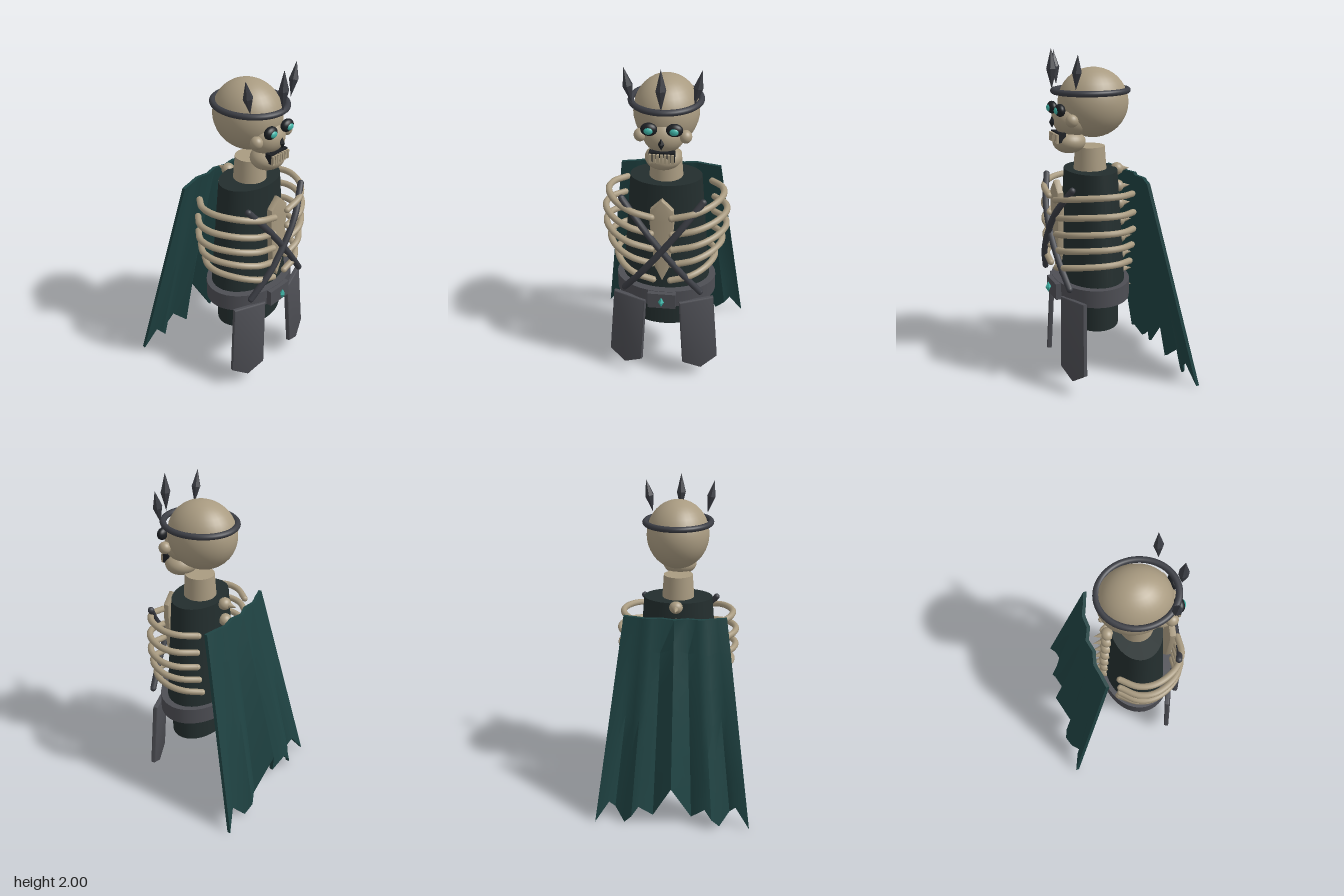
import * as THREE from 'three';
import { toCreasedNormals } from 'three/addons/utils/BufferGeometryUtils.js';

const V = (x, y, z) => new THREE.Vector3(x, y, z);

export function createModel() {
  const model = new THREE.Group();
  const mat = (name, color) => {
    const m = new THREE.MeshStandardMaterial({ color });
    m.name = name;
    return m;
  };
  const bone = mat('bone', 0xa99b81);
  const cloth = mat('dark cloth', 0x232e2e);
  const steel = mat('grey steel', 0x4d4e54);
  const iron = mat('dark iron', 0x3b3d44);
  const black = mat('socket black', 0x1c1f23);
  const glow = mat('teal glow', 0x3fb5a8);
  const cape = mat('cape teal', 0x1f4343);
  cape.side = THREE.DoubleSide;

  const add = (name, geo, material, x = 0, y = 0, z = 0, parent = model) => {
    const m = new THREE.Mesh(geo, material);
    m.name = name;
    m.position.set(x, y, z);
    parent.add(m);
    return m;
  };
  const ball = (name, material, x, y, z, rx, ry = rx, rz = rx) =>
    add(name, new THREE.SphereGeometry(1, 32, 20).scale(rx, ry, rz), material, x, y, z);
  // Elliptical drum between two heights
  const drum = (name, material, rTop, rBottom, y0, y1, z, depth) =>
    add(name, new THREE.CylinderGeometry(rTop, rBottom, y1 - y0, 40).scale(1, 1, depth), material, 0, (y0 + y1) / 2, z);
  // Faceted double-ended spike
  const crystal = (name, material, x, y, z, r, h, sides = 6) =>
    add(name, toCreasedNormals(new THREE.LatheGeometry(
      [new THREE.Vector2(0, -h), new THREE.Vector2(r, 0), new THREE.Vector2(0, h)], sides), 0.2), material, x, y, z);
  // Round rod with domed ends following a curve
  const rod = (name, material, points, r) => {
    const g = new THREE.Group();
    g.name = name;
    add(name + 'Shaft', new THREE.TubeGeometry(new THREE.CatmullRomCurve3(points), 32, r, 10), material, 0, 0, 0, g);
    for (const p of [points[0], points[points.length - 1]])
      add(name + 'End', new THREE.SphereGeometry(r, 10, 8), material, p.x, p.y, p.z, g);
    model.add(g);
  };

  // Skull
  ball('cranium', bone, 0, 1.69, 0.105, 0.183, 0.2, 0.207);
  ball('face', bone, 0, 1.6, 0.235, 0.115, 0.1, 0.11);
  ball('jaw', bone, 0, 1.475, 0.255, 0.102, 0.068, 0.095);
  for (const s of [-1, 1]) {
    ball('cheekbone', bone, s * 0.123, 1.61, 0.28, 0.034, 0.036, 0.036);
    ball('eyeSocket', black, s * 0.068, 1.665, 0.33, 0.045, 0.036, 0.028);
    ball('eye', glow, s * 0.068, 1.663, 0.35, 0.025, 0.02, 0.014);
  }
  crystal('noseHole', black, 0, 1.592, 0.355, 0.018, 0.034, 4);
  add('mouth', new THREE.BoxGeometry(0.14, 0.055, 0.04), black, 0, 1.508, 0.318);
  for (let i = -3; i <= 3; i++)
    add('tooth', new THREE.BoxGeometry(0.014, 0.05, 0.02), bone, i * 0.02, 1.503, 0.343);

  // Crown
  add('crownBand', new THREE.TorusGeometry(0.192, 0.017, 12, 64).rotateX(Math.PI / 2).scale(1, 1, 1.115), iron, 0, 1.76, 0.12);
  crystal('crownSpike', iron, 0, 1.888, 0.352, 0.03, 0.112);
  for (const s of [-1, 1])
    crystal('crownSpike', iron, s * 0.184, 1.88, 0.27, 0.028, 0.098).rotation.z = -s * 0.2;

  // Body core and belt
  drum('neck', bone, 0.087, 0.097, 1.3, 1.44, 0.127, 1);
  drum('torso', cloth, 0.207, 0.265, 0.6, 1.305, 0.125, 0.72);
  drum('hips', cloth, 0.23, 0.23, 0.36, 0.6, 0.132, 0.69);
  drum('belt', steel, 0.3, 0.3, 0.54, 0.645, 0.133, 0.75);
  add('buckle', new THREE.BoxGeometry(0.165, 0.1, 0.04), steel, 0, 0.592, 0.362);
  crystal('buckleGem', glow, 0, 0.6, 0.402, 0.018, 0.034, 4);

  // Pointed plate extruded from an outline
  const plate = (points, depth, bevel) => {
    const shape = new THREE.Shape(points.map(p => new THREE.Vector2(...p)));
    return toCreasedNormals(new THREE.ExtrudeGeometry(shape, {
      depth, bevelEnabled: true, bevelSize: bevel, bevelThickness: bevel, bevelOffset: -bevel, bevelSegments: 2,
    }).translate(0, 0, -depth / 2), 0.5);
  };

  // Hanging hip plates
  for (const s of [-1, 1]) {
    const t = add('hipPlate', plate([[-0.105, 0], [-0.11, -0.44], [0, -0.505], [0.11, -0.44], [0.105, 0]], 0.014, 0.008),
      steel, s * 0.198, 0.575, 0.312);
    t.rotation.set(-0.06, s * 0.33, s * 0.055, 'YXZ');
  }

  // Breastbone
  add('breastbone', plate([[0, 1.255], [-0.065, 1.19], [-0.07, 1.12], [-0.045, 0.82], [0, 0.72],
    [0.045, 0.82], [0.07, 1.12], [0.065, 1.19]], 0.024, 0.008), bone, 0, 0, 0.335);

  // Ribs
  const ribSizes = [[1.2, 0.94], [1.095, 1], [0.995, 1], [0.895, 0.94], [0.785, 0.83]];
  const ribPath = [[0.27, -0.005, -0.03], [0.34, 0.005, 0.06], [0.352, 0.008, 0.16],
    [0.29, 0, 0.285], [0.19, -0.02, 0.355], [0.06, -0.05, 0.365]];
  for (const [y, k] of ribSizes)
    for (const s of [-1, 1])
      rod('rib', bone, ribPath.map(p => V(s * p[0] * k, y + p[1], p[2])), 0.019);

  // Crossed chest straps
  for (const s of [-1, 1]) {
    const dz = s * 0.006;
    rod('chestStrap', iron, [V(s * 0.228, 1.24, 0.322), V(s * 0.11, 1.09, 0.375 + dz), V(0, 0.945, 0.388 + dz),
      V(-s * 0.11, 0.8, 0.378 + dz), V(-s * 0.222, 0.655, 0.345)], 0.019);
  }

  // Spine
  for (let i = 0; i < 8; i++) {
    const y = 1.288 - i * 0.107, z = -0.045 - Math.min(i, 4) * 0.005;
    ball('vertebra', bone, 0, y, z, 0.04, 0.037, 0.037);
    add('vertebraSpike', new THREE.ConeGeometry(0.02, 0.055, 8).rotateX(-Math.PI / 2), bone, 0, y - 0.002, z - 0.053);
  }

  // Cape: half columns of [top x, top z, hem x, hem y, hem z], mirrored
  const half = [[0, 0.172, 0, 0.28, 0.42], [0.075, 0.148, 0.117, 0.05, 0.355], [0.128, 0.157, 0.2, 0.13, 0.395],
    [0.155, 0.16, 0.243, 0.07, 0.412], [0.185, 0.152, 0.29, 0.01, 0.385], [0.22, 0.14, 0.35, 0.09, 0.338],
    [0.245, 0.135, 0.385, 0.13, 0.355], [0.3, 0.12, 0.47, 0.005, 0.39]];
  const columns = [...half.slice(1).reverse().map(c => [-c[0], c[1], -c[2], c[3], c[4]]), ...half];
  const loop = [...columns.map(c => [c, 0]), ...[...columns].reverse().map(c => [c, 0.02])];
  const rows = 6, n = loop.length, pos = [], idx = [];
  for (let r = 0; r <= rows; r++)
    for (const [c, inset] of loop) {
      const t = r / rows;
      pos.push(THREE.MathUtils.lerp(c[0], c[2], t), THREE.MathUtils.lerp(1.255, c[3], t),
        inset - THREE.MathUtils.lerp(c[1], c[4], t));
    }
  const quad = (a, b, c, d) => idx.push(a, b, c, a, c, d);
  for (let r = 0; r < rows; r++)
    for (let i = 0; i < n; i++) {
      const j = (i + 1) % n;
      quad(r * n + i, r * n + j, (r + 1) * n + j, (r + 1) * n + i);
    }
  for (let i = 0; i < columns.length - 1; i++) {
    const b = rows * n;
    quad(i, n - 1 - i, n - 2 - i, i + 1);
    quad(b + i, b + i + 1, b + n - 2 - i, b + n - 1 - i);
  }
  // Wind the cape outwards
  for (let i = 0; i < idx.length; i += 3) [idx[i + 1], idx[i + 2]] = [idx[i + 2], idx[i + 1]];
  const capeGeo = new THREE.BufferGeometry();
  capeGeo.setAttribute('position', new THREE.Float32BufferAttribute(pos, 3));
  capeGeo.setIndex(idx);
  add('cape', toCreasedNormals(capeGeo, 0.7), cape);

  return model;
}
